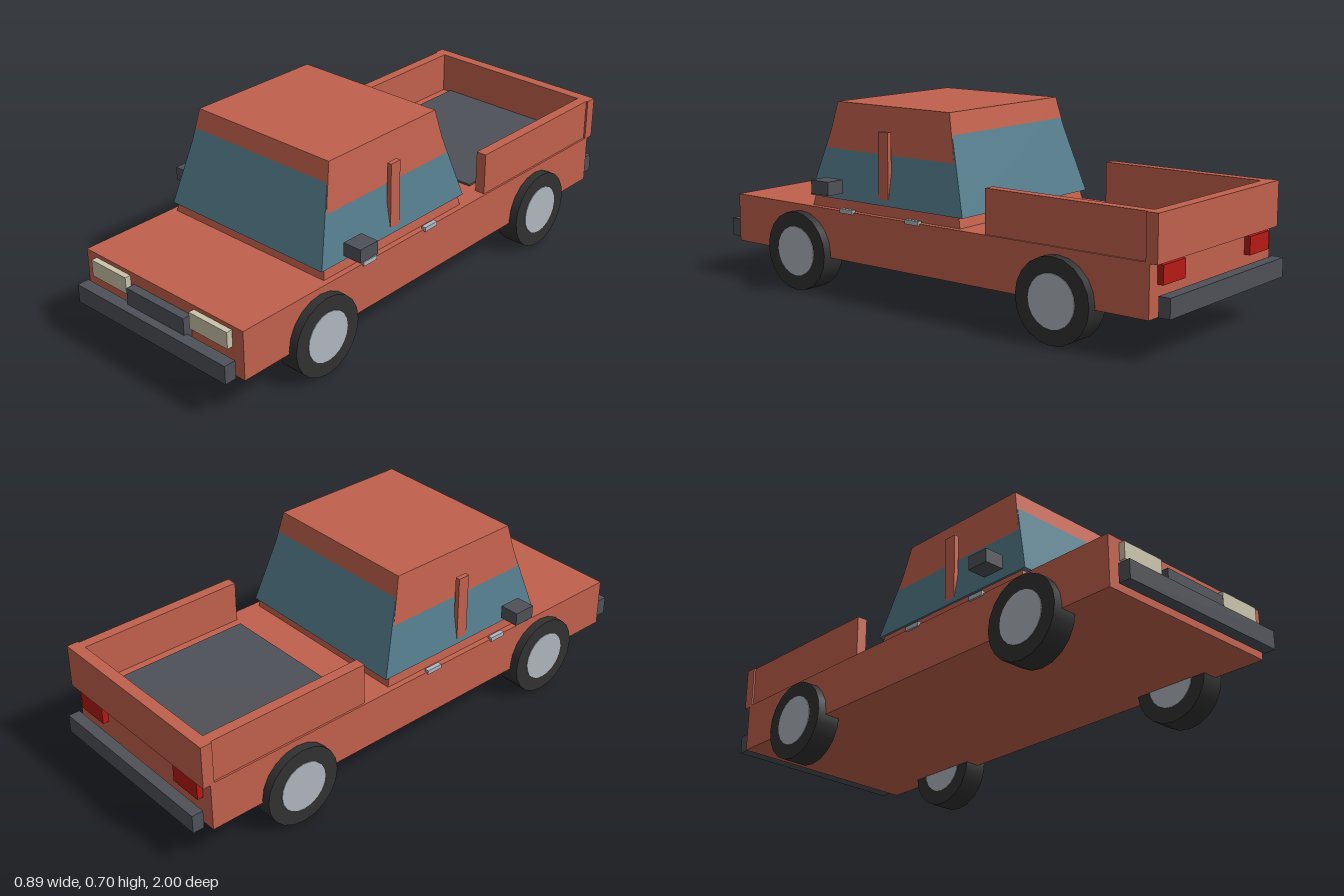
import * as THREE from 'three';

const mat = (name, color) => {
  const m = new THREE.MeshStandardMaterial({ color });
  m.name = name;
  return m;
};

export function createModel() {
  const truck = new THREE.Group();
  truck.name = 'pickupTruck';

  const paint = mat('redPaint', 0xc1604c);
  const glass = mat('blueGlass', 0x547c8b);
  const trim = mat('darkTrim', 0x4e5157);
  const rubber = mat('blackRubber', 0x313131);
  const metal = mat('paleMetal', 0xb0b6be);
  const lamp = mat('creamLamp', 0xcac4ab);
  const tail = mat('redLamp', 0xb51a16);

  const add = (name, geometry, material) => {
    const mesh = new THREE.Mesh(geometry, material);
    mesh.name = name;
    truck.add(mesh);
    return mesh;
  };

  // Box given by its limits on each axis
  const box = (name, material, x0, x1, y0, y1, z0, z1) => {
    const g = new THREE.BoxGeometry(x1 - x0, y1 - y0, z1 - z0);
    g.translate((x0 + x1) / 2, (y0 + y1) / 2, (z0 + z1) / 2);
    return add(name, g, material);
  };

  // The same box on the left (+x) and right side
  const pair = (name, material, x0, x1, ...rest) => {
    box(name + 'Left', material, x0, x1, ...rest);
    box(name + 'Right', material, -x1, -x0, ...rest);
  };

  // Box tapering from a lower to an upper rectangle, each [halfWidth, back, front]
  const taper = (name, material, y0, y1, low, high) => {
    const g = new THREE.BoxGeometry(2, 2, 2);
    const p = g.attributes.position;
    for (let i = 0; i < p.count; i++) {
      const up = p.getY(i) > 0;
      const [w, back, front] = up ? high : low;
      p.setXYZ(i, p.getX(i) * w, up ? y1 : y0, p.getZ(i) > 0 ? front : back);
    }
    g.computeVertexNormals();
    return add(name, g, material);
  };

  // Body and cab; the glass sinks into the cab near the roof
  box('body', paint, -0.38, 0.38, 0.137, 0.32, -0.935, 0.935);
  taper('cab', paint, 0.318, 0.705, [0.358, -0.16, 0.55], [0.305, -0.07, 0.465]);
  taper('windows', glass, 0.357, 0.66, [0.36, -0.172, 0.561], [0.306, -0.078, 0.473]);
  pair('doorPillar', paint, 0.339, 0.357, 0.377, 0.62, 0.172, 0.218);

  // Cargo bed
  pair('bedWall', paint, 0.333, 0.373, 0.318, 0.477, -0.93, -0.282);
  box('tailgate', paint, -0.38, 0.38, 0.316, 0.477, -0.963, -0.92);
  box('bedLiner', trim, -0.296, 0.296, 0.319, 0.327, -0.92, -0.294);

  // Mirrors and door handles
  pair('mirror', trim, 0.371, 0.445, 0.383, 0.433, 0.383, 0.468);
  pair('frontHandle', metal, 0.37, 0.387, 0.313, 0.329, 0.322, 0.386);
  pair('rearHandle', metal, 0.37, 0.387, 0.313, 0.329, 0.004, 0.068);

  // Front and rear details
  box('frontBumper', trim, -0.361, 0.361, 0.147, 0.215, 0.955, 1);
  box('rearBumper', trim, -0.361, 0.361, 0.147, 0.215, -1, -0.957);
  box('grille', trim, -0.139, 0.139, 0.18, 0.278, 0.93, 0.968);
  pair('headlight', lamp, 0.155, 0.33, 0.243, 0.305, 0.93, 0.957);
  pair('taillight', tail, 0.205, 0.335, 0.243, 0.308, -0.957, -0.93);

  // Wheels with hubs showing on both faces
  const tyre = new THREE.CylinderGeometry(0.148, 0.148, 0.093, 20).rotateZ(Math.PI / 2);
  const hub = new THREE.CylinderGeometry(0.093, 0.093, 0.098, 20).rotateZ(Math.PI / 2);
  for (const [end, z] of [['front', 0.59], ['rear', -0.587]]) {
    for (const [side, x] of [['Left', 0.366], ['Right', -0.366]]) {
      add(end + side + 'Tyre', tyre, rubber).position.set(x, 0.148, z);
      add(end + side + 'Hub', hub, metal).position.set(x, 0.148, z);
    }
  }

  return truck;
}
